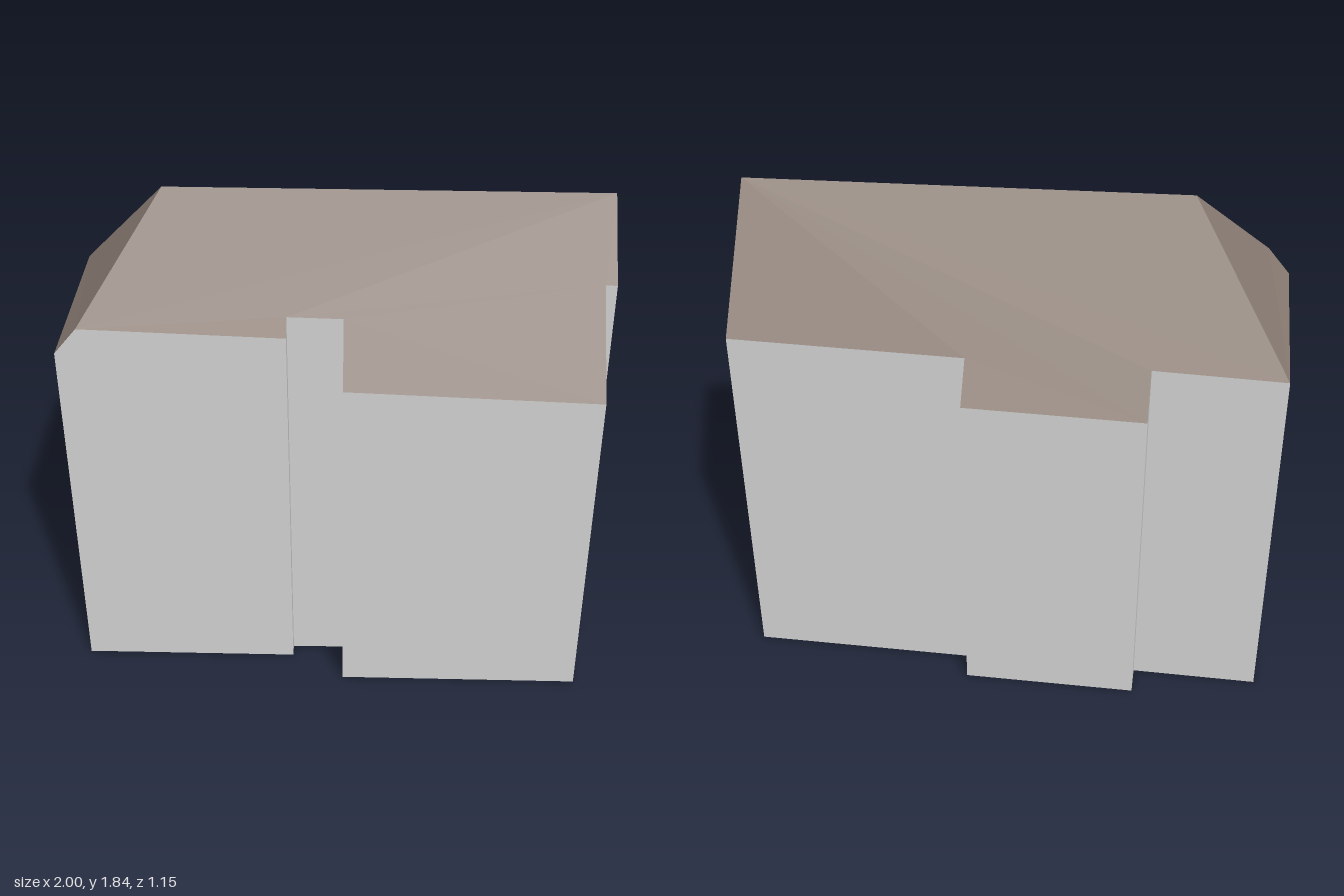
import * as THREE from 'three';

// Ground outline [x, z], running left -> front -> right -> back
const outline = [
  [-1, 0.155], [-0.92, 0.168], [-0.22, 0.283], [-0.212, 0.234], [-0.022, 0.264], [-0.046, 0.43],
  [0.823, 0.574], [0.868, 0.303], [0.908, 0.31], [0.943, 0.095], [1, -0.246], [0.187, -0.378],
  [0.204, -0.48], [-0.415, -0.58], [-0.433, -0.473], [-0.881, -0.548],
];
const RIDGE_END = 9; // outline index where the ridge meets the gable wall
const ridgeStart = new THREE.Vector3(-0.595, 1.838, -0.125);
const ridgeEnd = new THREE.Vector3(outline[RIDGE_END][0], 1.818, outline[RIDGE_END][1]);

// Roof slope as a height function through three points
function slope(a, b, c) {
  const plane = new THREE.Plane().setFromCoplanarPoints(a, b, c);
  const n = plane.normal;
  return (x, z) => -(n.x * x + n.z * z + plane.constant) / n.y;
}
const frontHeight = slope(ridgeStart, ridgeEnd, new THREE.Vector3(0.823, 1.28, 0.574));
const backHeight = slope(ridgeStart, ridgeEnd, new THREE.Vector3(1, 1.38, -0.246));

// Eave points sit on the slope above each outline corner
const eaves = outline.map(([x, z], i) => {
  const y = i === 0 ? 1.375 : i <= RIDGE_END ? frontHeight(x, z) : backHeight(x, z);
  return new THREE.Vector3(x, y, z);
});
const base = outline.map(([x, z]) => new THREE.Vector3(x, 0, z));

// Flat mesh from a list of triangle corners
function facetMesh(name, corners, material) {
  const geometry = new THREE.BufferGeometry().setFromPoints(corners);
  geometry.computeVertexNormals();
  const mesh = new THREE.Mesh(geometry, material);
  mesh.name = name;
  return mesh;
}

// Triangulate a polygon by its plan shape, facing up or down
function planFacet(points, faceDown = false) {
  const flat = points.map((p) => new THREE.Vector2(p.x, -p.z));
  return THREE.ShapeUtils.triangulateShape(flat, []).flatMap(([a, b, c]) =>
    (faceDown ? [a, c, b] : [a, b, c]).map((i) => points[i]));
}

export function createModel() {
  const wallMaterial = new THREE.MeshStandardMaterial({ color: 0xd0d0d0 });
  wallMaterial.name = 'wall grey';
  const roofMaterial = new THREE.MeshStandardMaterial({ color: 0x8a7c73 });
  roofMaterial.name = 'roof brown';

  const house = new THREE.Group();
  house.name = 'house';

  // Walls: one upright quad per outline edge
  const wallCorners = base.flatMap((p, i) => {
    const j = (i + 1) % base.length;
    return [p, base[j], eaves[j], p, eaves[j], eaves[i]];
  });
  house.add(facetMesh('walls', wallCorners, wallMaterial));
  house.add(facetMesh('floor', planFacet(base, true), wallMaterial));

  // Roof: two long slopes and a hipped end
  const last = eaves.length - 1;
  const slopes = {
    frontRoof: [...eaves.slice(1, RIDGE_END + 1), ridgeStart],
    backRoof: [...eaves.slice(RIDGE_END), ridgeStart],
    hipRoof: [eaves[last], eaves[0], eaves[1], ridgeStart],
  };
  for (const [name, points] of Object.entries(slopes)) {
    house.add(facetMesh(name, planFacet(points), roofMaterial));
  }
  return house;
}
